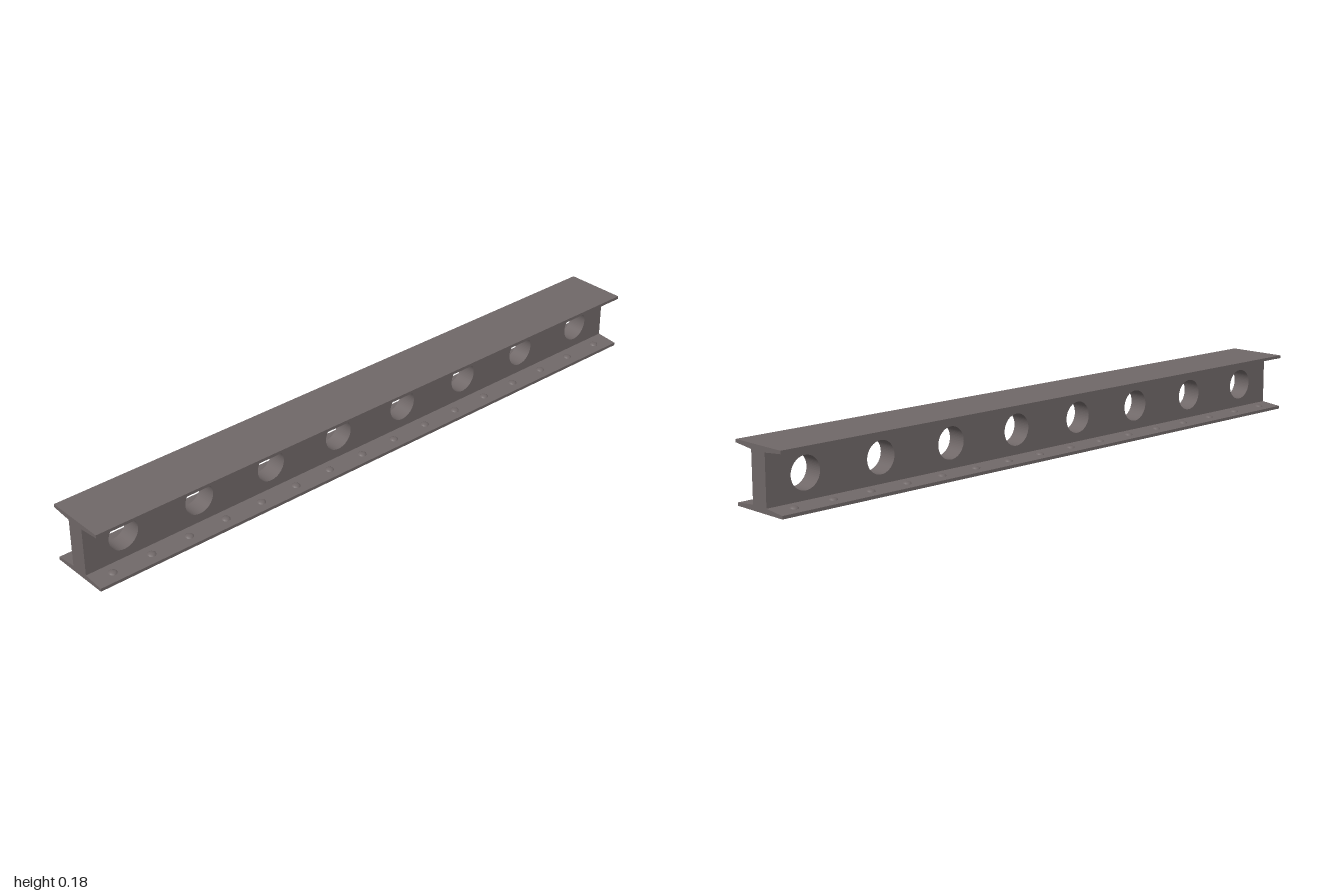
import * as THREE from 'three';

const HEIGHT = 0.177, HALF_W = 0.096, WEB = 0.029, EDGE = 0.009, ROOT = 0.0155;

export function createModel() {
  const group = new THREE.Group();
  group.name = 'girder';
  const steel = new THREE.MeshStandardMaterial({ color: 0x706868 });
  steel.name = 'grey steel';

  const add = (name, geometry) => {
    const mesh = new THREE.Mesh(geometry, steel);
    mesh.name = name;
    group.add(mesh);
    return mesh;
  };

  // Web: thick plate pierced by a row of eight round holes
  const web = new THREE.Shape([[-1, ROOT], [1, ROOT], [1, HEIGHT - ROOT], [-1, HEIGHT - ROOT]]
    .map(([x, y]) => new THREE.Vector2(x, y)));
  for (let i = 0; i < 8; i++) {
    web.holes.push(new THREE.Path().absarc(-0.875 + i * 0.25, HEIGHT / 2, 0.047, 0, Math.PI * 2, true));
  }
  const webGeometry = new THREE.ExtrudeGeometry(web, { depth: WEB * 2, bevelEnabled: false, curveSegments: 32 });
  webGeometry.translate(0, 0, -WEB).rotateY(Math.PI / 2);
  add('web', webGeometry);

  // Flanges: tapered from the web towards thin outer edges
  const flange = new THREE.Shape([
    [-HALF_W, 0], [HALF_W, 0], [HALF_W, EDGE], [WEB, ROOT], [-WEB, ROOT], [-HALF_W, EDGE],
  ].map(([x, y]) => new THREE.Vector2(x, y)));
  const flangeGeometry = new THREE.ExtrudeGeometry(flange, { depth: 2, bevelEnabled: false });
  flangeGeometry.translate(0, 0, -1);
  add('bottomFlange', flangeGeometry);
  const top = add('topFlange', flangeGeometry);
  top.rotation.z = Math.PI;
  top.position.y = HEIGHT;

  // Rivets: low domes lying on both slopes of the bottom flange
  const rivetGeometry = new THREE.LatheGeometry(
    [[0.013, -0.001], [0.0125, 0.001], [0.0075, 0.0042], [0, 0.0045]].map(([x, y]) => new THREE.Vector2(x, y)), 12);
  const slope = (ROOT - EDGE) / (HALF_W - WEB), rivetX = 0.061;
  for (const side of [-1, 1]) {
    for (let i = 0; i < 16; i++) {
      const rivet = add('rivet', rivetGeometry);
      rivet.position.set(side * rivetX, EDGE + (HALF_W - rivetX) * slope, -0.9375 + i * 0.125);
      rivet.rotation.z = -side * Math.atan(slope);
    }
  }
  return group;
}
